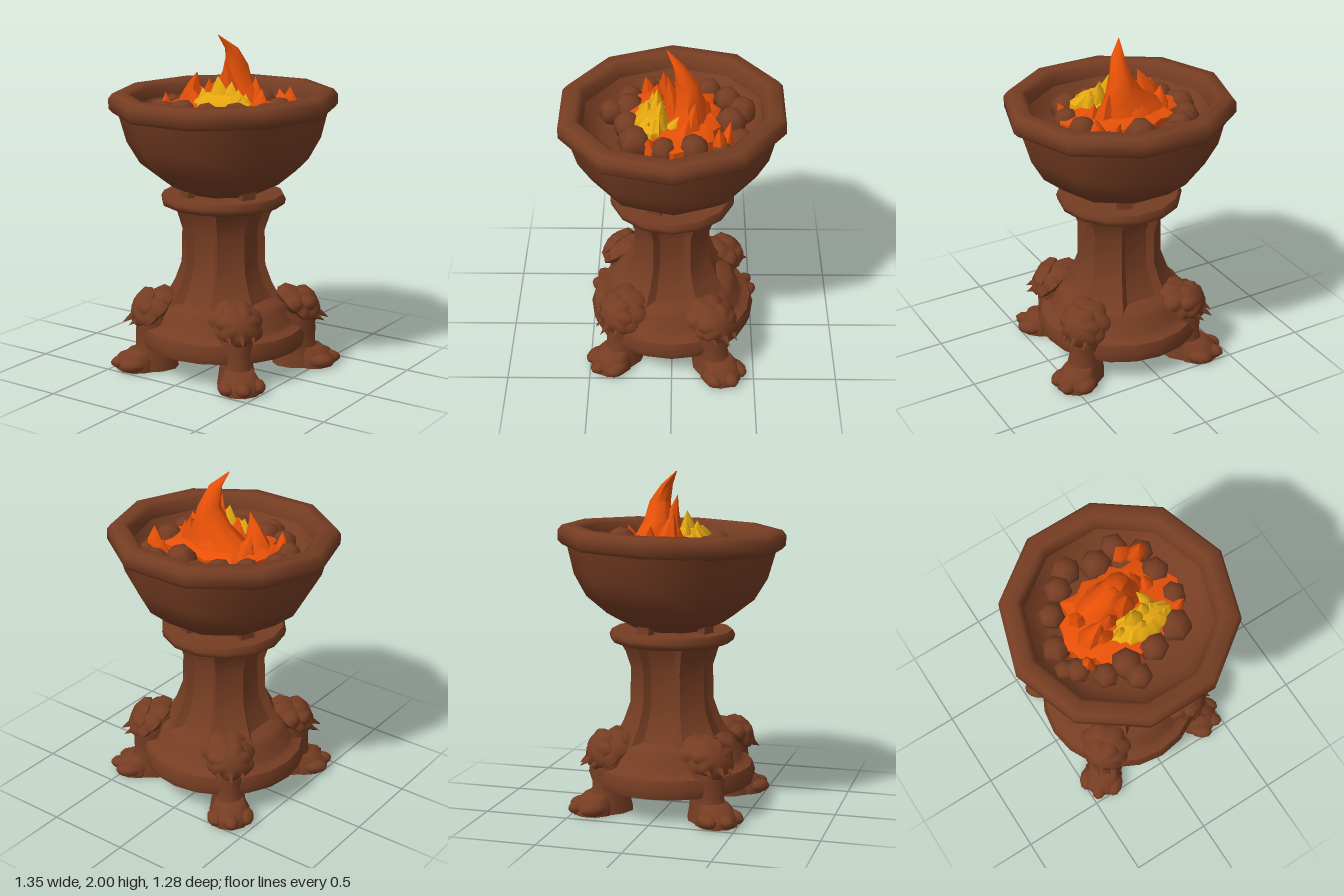
import * as THREE from 'three';
import { toCreasedNormals } from 'three/addons/utils/BufferGeometryUtils.js';

const mat = (name, color) => {
  const m = new THREE.MeshStandardMaterial({ color });
  m.name = name;
  return m;
};

// small seeded random
function seeded(seed) {
  return () => (seed = (seed * 16807) % 2147483647) / 2147483647;
}

const polygon = (n) => Array.from({ length: n }, (_, i) => [(i / n) * Math.PI * 2, 1]);

// skin through horizontal rings [x, y, z, rx, rz]; section = list of [angle, radius]
function loft(rings, section, crease = 0.7) {
  const pos = [], idx = [], n = section.length;
  for (const [x, y, z, rx, rz] of rings)
    for (const [a, r] of section) pos.push(x + Math.cos(a) * r * rx, y, z + Math.sin(a) * r * rz);
  const bottom = pos.length / 3, last = rings.length - 1;
  pos.push(...rings[0].slice(0, 3), ...rings[last].slice(0, 3));
  for (let i = 0; i < n; i++) {
    const j = (i + 1) % n;
    for (let k = 0; k < last; k++) {
      const a = k * n + i, b = k * n + j;
      idx.push(a, a + n, b, b, a + n, b + n);
    }
    idx.push(bottom, i, j, bottom + 1, last * n + j, last * n + i);
  }
  const g = new THREE.BufferGeometry();
  g.setAttribute('position', new THREE.Float32BufferAttribute(pos, 3));
  g.setIndex(idx);
  return toCreasedNormals(g, crease);
}

function lathe(points, segments, crease = 0.7) {
  const pts = points.map(([r, y]) => new THREE.Vector2(r, y));
  return toCreasedNormals(new THREE.LatheGeometry(pts, segments, Math.PI / 2), crease);
}

export function createModel() {
  const model = new THREE.Group();
  model.name = 'brazier';
  const bronze = mat('bronze brown', 0x763d23);
  const orange = mat('flame orange', 0xee5308);
  const yellow = mat('flame yellow', 0xe6a80f);
  const rand = seeded(71);

  const add = (parent, name, geometry, material, p = [0, 0, 0], s = [1, 1, 1]) => {
    const m = new THREE.Mesh(geometry, material);
    m.name = name;
    m.position.set(...p);
    m.scale.set(...s);
    parent.add(m);
    return m;
  };

  // stepped round base
  add(model, 'base', lathe([[0, 0.16], [0.44, 0.14], [0.49, 0.15], [0.505, 0.2], [0.485, 0.26], [0.44, 0.275],
    [0.42, 0.29], [0.39, 0.38], [0.36, 0.41], [0.28, 0.43], [0, 0.43]], 20, 0.8), bronze);

  // waisted column: four broad diagonal ribs with recessed panels between
  const ribbed = [];
  for (let q = 0; q < 4; q++)
    for (const [deg, r] of [[-20, 0.224], [20, 0.224], [26, 0.268], [64, 0.268]])
      ribbed.push([THREE.MathUtils.degToRad(q * 90 + deg), r]);
  const columnRings = [[0.4, 1.38], [0.44, 1.27], [0.52, 1.1], [0.63, 0.95], [0.84, 0.93], [0.94, 1.05], [1.02, 1.22]]
    .map(([y, s]) => [0, y, 0, s, s]);
  add(model, 'column', loft(columnRings, ribbed, 0.45), bronze);

  // collar with small tabs under the bowl
  add(model, 'collar', lathe([[0, 0.99], [0.33, 0.99], [0.367, 1.005], [0.375, 1.035], [0.36, 1.065], [0, 1.065]], 14, 1), bronze);
  for (let i = 0; i < 4; i++) {
    const a = 0.4 + i * Math.PI / 2;
    const tab = add(model, 'collarTab', new THREE.BoxGeometry(0.05, 0.07, 0.09), bronze,
      [Math.cos(a) * 0.25, 1.075, Math.sin(a) * 0.25]);
    tab.rotation.y = -a;
  }

  // bowl, tipped very slightly forward
  const bowl = new THREE.Group();
  bowl.name = 'bowl';
  bowl.position.y = 1.6;
  bowl.rotation.x = 0.03;
  model.add(bowl);
  add(bowl, 'bowlBody', lathe([[0, -0.53], [0.22, -0.525], [0.375, -0.45], [0.5, -0.35], [0.575, -0.22], [0.625, -0.03],
    [0.55, -0.01], [0.5, -0.09], [0.42, -0.14], [0.25, -0.17], [0, -0.17]], 10), bronze);
  add(bowl, 'rim', lathe([[0.6, -0.045], [0.65, -0.045], [0.674, -0.02], [0.674, 0.04], [0.65, 0.07],
    [0.575, 0.074], [0.545, 0.05], [0.535, -0.02]], 10, 1), bronze);

  // ring of rounded six-sided coals, the outer ones lying deeper [x, z, size]
  const coals = [[-0.11, -0.4, 0.09], [-0.21, -0.32, 0.085], [0.05, -0.33, 0.095], [0.2, -0.38, 0.085], [0.32, -0.28, 0.075],
    [0.31, -0.12, 0.088], [0.32, 0.05, 0.08], [-0.32, -0.21, 0.08], [-0.4, -0.03, 0.085], [-0.36, 0.14, 0.075],
    [-0.42, 0.09, 0.06], [-0.25, 0.25, 0.075], [-0.12, 0.25, 0.095], [0.06, 0.25, 0.09], [0.23, 0.21, 0.1], [-0.1, 0.35, 0.08]];
  for (const [x, z, r] of coals) {
    const c = add(bowl, 'coal', new THREE.SphereGeometry(r, 6, 5), bronze,
      [x, -0.045 - Math.max(0, Math.hypot(x, z) - 0.36) * 0.5, z]);
    c.rotation.set(rand() * 0.6 - 0.3, rand() * 3, rand() * 0.6 - 0.3);
  }

  // glowing bed with a ragged edge
  const ragged = polygon(28).map(([a], i) => [a, i % 2 ? 0.85 + rand() * 0.1 : 0.95 + rand() * 0.13]);
  add(model, 'emberBed', loft([[0.01, 1.45, -0.01, 0.37, 0.27], [0.01, 1.58, -0.01, 0.38, 0.28],
    [-0.02, 1.61, -0.03, 0.26, 0.2]], ragged), orange);

  // a flame tongue bends from its foot to its tip
  function tongue(name, material, foot, tip, rx, rz = rx) {
    const lerp = THREE.MathUtils.lerp;
    const rings = [[0, 1], [0.35, 0.85], [0.7, 0.42], [1, 0.01]].map(([t, w]) => [
      lerp(foot[0], tip[0], t * t), lerp(foot[1], tip[1], t), lerp(foot[2], tip[2], t * t), rx * w, rz * w]);
    add(model, name, loft(rings, polygon(6), 0.9), material);
  }
  add(model, 'mainFlame', loft([[-0.04, 1.52, -0.08, 0.25, 0.17], [-0.02, 1.64, -0.09, 0.2, 0.11],
    [0.02, 1.72, -0.09, 0.12, 0.085], [0.04, 1.82, -0.085, 0.067, 0.065], [0.032, 1.92, -0.04, 0.043, 0.035],
    [-0.015, 2, 0.03, 0.003, 0.003]], polygon(8), 0.9), orange);
  const orangeTongues = [
    [[0.03, 1.55, -0.02], [0.03, 1.86, 0.025], 0.09, 0.07], [[-0.22, 1.52, 0.03], [-0.15, 1.78, 0.05], 0.1, 0.08],
    [[-0.2, 1.52, -0.1], [-0.24, 1.7, -0.06], 0.09, 0.08], [[0.16, 1.52, -0.1], [0.14, 1.75, -0.13], 0.08, 0.07],
    [[0.22, 1.52, -0.06], [0.21, 1.69, -0.09], 0.07, 0.07], [[-0.14, 1.52, 0.07], [-0.17, 1.69, 0.09], 0.1, 0.06],
    [[-0.09, 1.55, 0.01], [-0.08, 1.74, 0.03], 0.08, 0.05],
    [[0.22, 1.54, -0.31], [0.18, 1.66, -0.33], 0.07, 0.04], [[0.29, 1.54, -0.27], [0.3, 1.69, -0.26], 0.07, 0.05],
    [[-0.31, 1.53, 0.14], [-0.3, 1.66, 0.16], 0.05, 0.05], [[-0.05, 1.52, -0.19], [0, 1.7, -0.16], 0.14, 0.06],
    [[0.29, 1.5, 0.11], [0.33, 1.64, 0.13], 0.07, 0.05]];
  for (const t of orangeTongues) tongue('orangeFlame', orange, ...t);

  // yellow heart spilling over the front
  add(model, 'yellowGlow', loft([[0.07, 1.53, 0.12, 0.2, 0.105], [0.07, 1.62, 0.115, 0.19, 0.095],
    [0.07, 1.67, 0.1, 0.12, 0.06]], ragged), yellow);
  const yellowTongues = [
    [[0.04, 1.56, 0.09], [0.02, 1.77, 0.085], 0.1, 0.07], [[0.1, 1.56, 0.08], [0.1, 1.74, 0.06], 0.09, 0.07],
    [[-0.05, 1.55, 0.11], [-0.07, 1.7, 0.11], 0.08, 0.05], [[0.16, 1.56, 0.08], [0.15, 1.7, 0.07], 0.08, 0.07],
    [[0.05, 1.54, 0.14], [0.05, 1.71, 0.14], 0.1, 0.07], [[0.17, 1.56, 0.02], [0.13, 1.66, -0.04], 0.05, 0.05],
    [[0.16, 1.54, 0.14], [0.21, 1.67, 0.13], 0.07, 0.06]];
  for (const t of yellowTongues) tongue('yellowFlame', yellow, ...t);

  // clawed legs on the diagonals, each crowned by a leafy ruff; local +x points outward
  const scalloped = polygon(42).map(([a]) => [a, 0.88 + 0.14 * Math.abs(Math.cos(a * 3.5)) + 0.06 * Math.cos(2 * a + 1)]);
  for (const [deg, reach] of [[45, 0], [135, 0.005], [229, -0.01], [-33, 0.03]]) {
    const leg = new THREE.Group();
    leg.name = 'leg';
    const angle = THREE.MathUtils.degToRad(deg);
    leg.rotation.y = -angle;
    leg.position.set(Math.cos(angle) * reach, 0, Math.sin(angle) * reach);
    model.add(leg);
    const ball = (name, p, s) => add(leg, name, new THREE.SphereGeometry(1, 10, 7), bronze, p, s);
    add(leg, 'shin', loft([[0.43, 0, 0, 0.16, 0.115], [0.425, 0.07, 0, 0.14, 0.105], [0.41, 0.14, 0, 0.12, 0.095],
      [0.41, 0.24, 0, 0.12, 0.1], [0.4, 0.33, 0, 0.12, 0.12], [0.36, 0.43, 0, 0.1, 0.1]], polygon(10), 1), bronze);
    add(leg, 'paw', loft([[0.52, 0, 0, 0.13, 0.125], [0.52, 0.055, 0, 0.13, 0.125], [0.48, 0.12, 0, 0.09, 0.085]],
      polygon(10), 1), bronze);
    for (const z of [-0.09, 0, 0.09])
      ball('toe', [0.605 - Math.abs(z) * 0.5, 0.04, z], [0.08, 0.042, 0.05]);

    // ruff: a core, two scalloped layers facing outward and drooping leaf tips
    ball('ruffCore', [0.4, 0.38, 0], [0.13, 0.09, 0.12]);
    const layers = [[0.4, 0.37, -0.75, 1], [0.47, 0.375, -1.15, 0.82]];
    for (const [x, y, tilt, s] of layers) {
      const layer = add(leg, 'ruffLayer', loft([[0, -0.04, 0, 0.1, 0.1], [0, 0, 0, 0.145, 0.165], [0, 0.05, 0, 0.13, 0.15],
        [0, 0.09, 0, 0.06, 0.07]], scalloped, 1), bronze, [x, y, 0], [s, s, s]);
      layer.rotation.z = tilt;
    }
    for (const z of [-0.07, 0, 0.07]) {
      const leaf = add(leg, 'ruffLeaf', new THREE.ConeGeometry(0.045, 0.14, 5), bronze,
        [0.55 - Math.abs(z) * 0.4, 0.325, z]);
      leaf.rotation.z = -2.1;
    }
  }
  return model;
}
